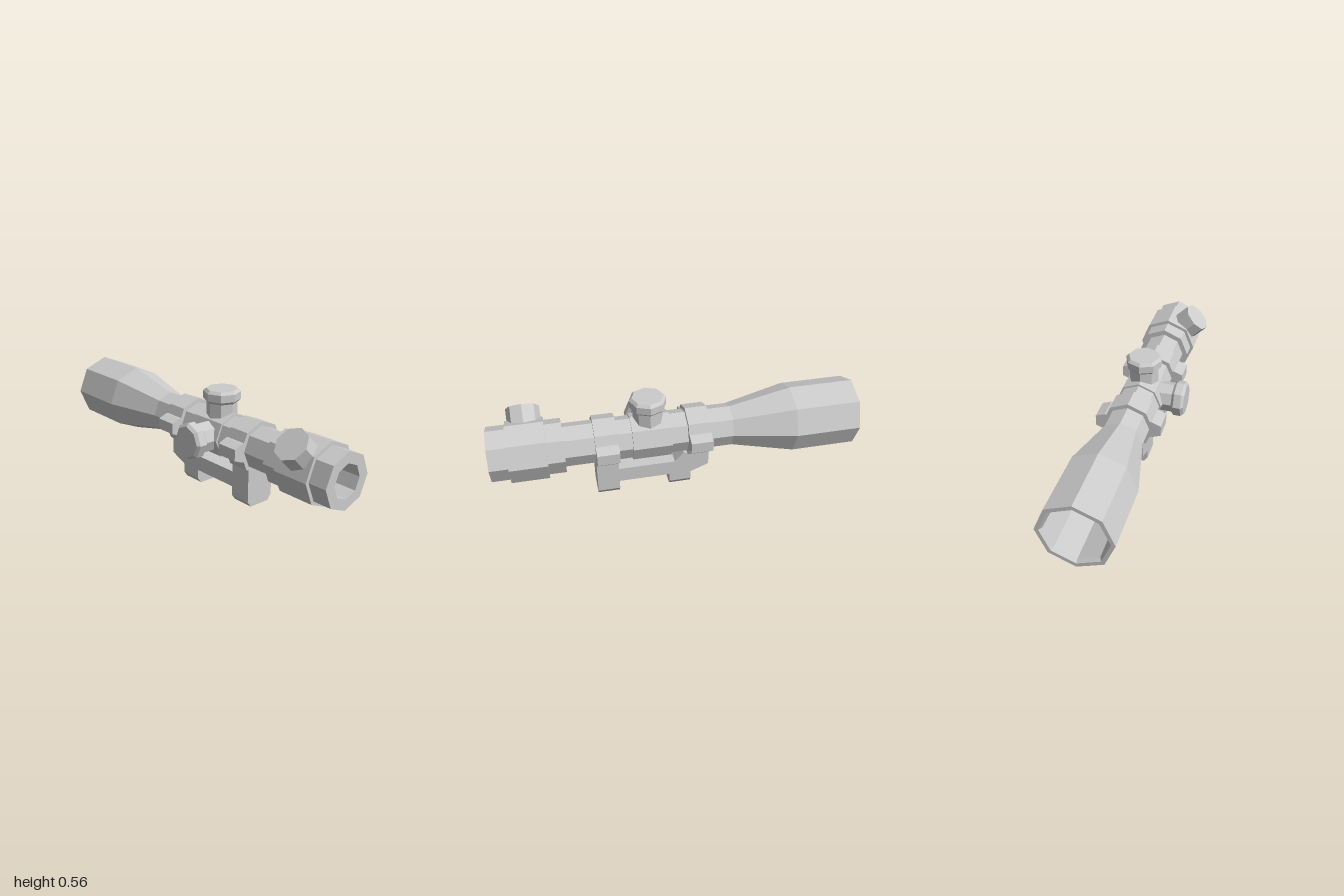
import * as THREE from 'three';

const CX = 0.025, CY = 0.315; // optical axis
const material = new THREE.MeshStandardMaterial({ color: 0xcccccc, flatShading: true });

function part(name, geometry) {
  const g = geometry.index ? geometry.toNonIndexed() : geometry;
  g.computeVertexNormals();
  const mesh = new THREE.Mesh(g, material);
  mesh.name = name;
  return mesh;
}

// Eight-sided turned solid around y from [radius, height] pairs
const turned = (pairs) =>
  new THREE.LatheGeometry(pairs.map(([r, h]) => new THREE.Vector2(r, h)), 8);

// Outline in x/y, extruded along z from z0 to z1
function prism(points, z0, z1) {
  const shape = new THREE.Shape(points.map(([x, y]) => new THREE.Vector2(x, y)));
  const g = new THREE.ExtrudeGeometry(shape, { depth: z1 - z0, bevelEnabled: false });
  return g.translate(0, 0, z0);
}

// Adjustment turret: narrow neck and chamfered cap, rising along +y from the axis
const turretProfile = [
  [0, 0.093], [0.083, 0.093], [0.083, 0.175], [0.085, 0.175], [0.1, 0.19],
  [0.1, 0.23], [0.085, 0.245], [0, 0.245],
];

export function createModel() {
  const model = new THREE.Group();
  model.name = 'riflescope';

  const optics = new THREE.Group();
  optics.name = 'optics';
  optics.position.set(CX, CY, 0);
  model.add(optics);

  // Hollow body: objective bell, main tube, turret housing, eyepiece, then the bore
  const body = [
    [0.17, -1], [0.192, -1], [0.192, -0.64], [0.117, -0.3],
    [0.117, 0.04], [0.128, 0.04], [0.128, 0.25], [0.117, 0.25],
    [0.117, 0.61], [0.147, 0.61], [0.147, 0.7], [0.166, 0.7],
    [0.166, 0.9], [0.147, 0.9], [0.147, 1], [0.089, 1],
    [0.089, -0.3], [0.158, -0.64], [0.158, -0.98], [0.17, -1],
  ];
  optics.add(part('scopeBody', turned(body).rotateX(Math.PI / 2)));

  // Elevation turret on top, windage turret on the right
  const elevation = part('elevationTurret', turned(turretProfile));
  const windage = part('windageTurret', turned(turretProfile));
  windage.rotation.z = Math.PI / 2;
  for (const turret of [elevation, windage]) {
    turret.position.z = 0.15;
    optics.add(turret);
  }

  // Slanted zoom knob on the eyepiece
  const knob = part('zoomKnob', turned([[0, 0.12], [0.089, 0.12], [0.089, 0.229], [0, 0.229]]));
  knob.rotation.z = Math.PI / 4;
  knob.position.z = 0.8;
  optics.add(knob);

  // Clamping rings with a tapered lug on each side
  for (const [name, z0, z1] of [['frontRing', 0.33, 0.45], ['rearRing', -0.17, -0.05]]) {
    const ring = new THREE.Group();
    ring.name = name;
    ring.add(part('ringBand', turned(
      [[0.11, z0], [0.14, z0], [0.14, z1], [0.11, z1], [0.11, z0]]).rotateX(Math.PI / 2)));
    for (const s of [-1, 1]) {
      const lug = [[0.11, -0.05], [0.13, -0.05], [0.18, -0.03], [0.18, 0.03], [0.13, 0.05], [0.11, 0.05]];
      ring.add(part('ringLug', prism(lug.map(([x, y]) => [x * s, y]), z0, z1)));
    }
    optics.add(ring);
  }

  // Mount bracket: side outline in (-z, y), extruded across x
  const mount = new THREE.Group();
  mount.name = 'mount';
  mount.position.x = CX;
  model.add(mount);
  const half = 0.083;
  const side = [
    [-0.45, 0.03], [-0.33, 0.03], [-0.33, 0.08], [-0.05, 0.08], [-0.05, 0.03],
    [0.07, 0.03], [0.07, 0.08], [0.17, 0.12], [0.17, 0.215],
    [0.05, 0.215], [0.03, 0.222], [-0.02, 0.165], [-0.33, 0.165], [-0.33, 0.215], [-0.45, 0.215],
  ];
  mount.add(part('mountBracket', prism(side, -half, half).rotateY(Math.PI / 2)));

  // Chamfered feet
  const foot = [[-0.061, 0], [0.061, 0], [half, 0.03], [-half, 0.03]];
  mount.add(part('frontFoot', prism(foot, 0.33, 0.45)));
  mount.add(part('rearFoot', prism(foot, -0.07, 0.05)));

  return model;
}
